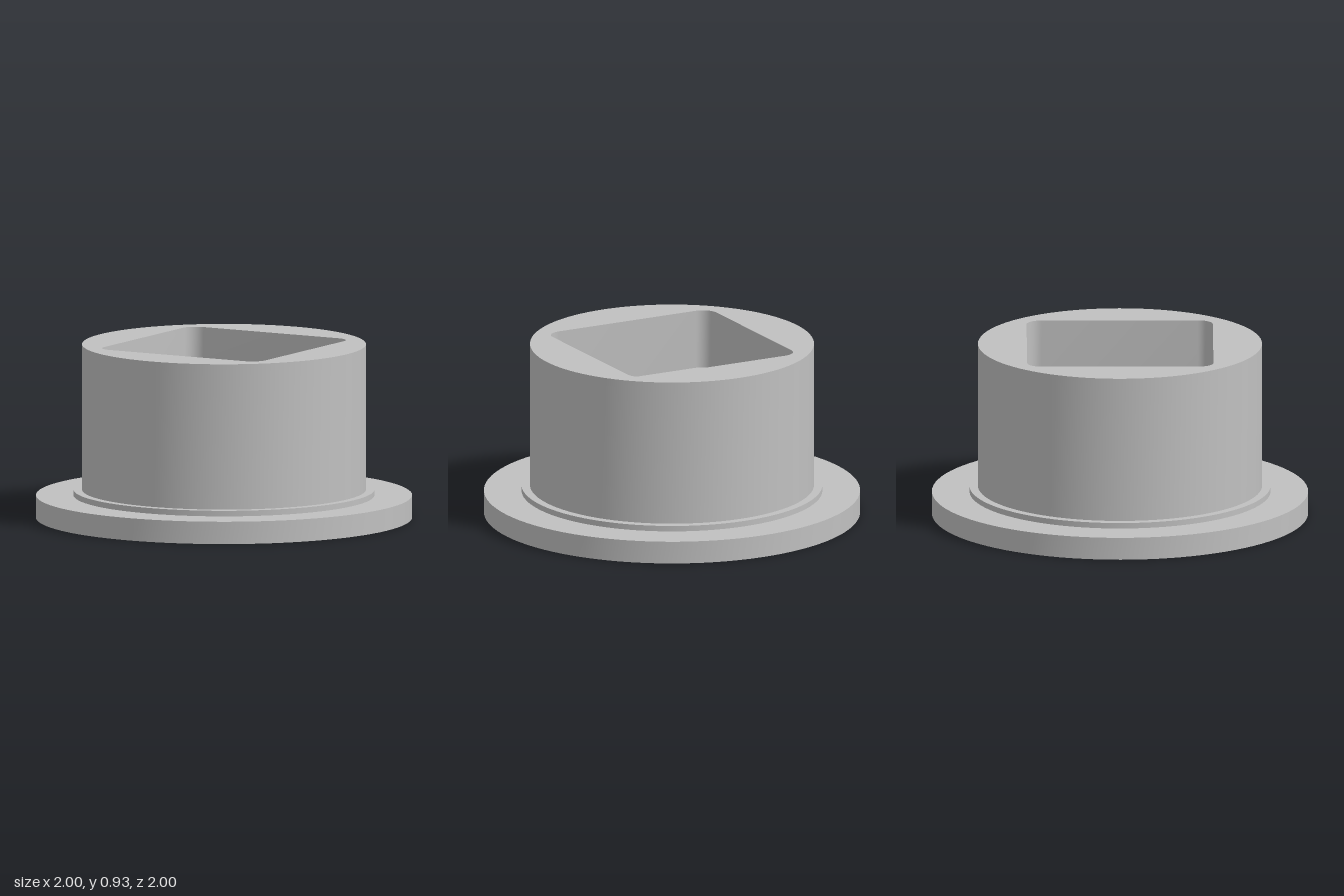
import * as THREE from 'three';
import { toCreasedNormals } from 'three/addons/utils/BufferGeometryUtils.js';

const grey = new THREE.MeshStandardMaterial({ color: 0xc0c0c0 });
grey.name = 'plain grey';

// Regular polygon outline, counter-clockwise; many sides make a circle
function ring(radius, sides = 96) {
  return Array.from({ length: sides }, (_, i) => {
    const a = (i / sides) * Math.PI * 2;
    return new THREE.Vector2(radius * Math.cos(a), radius * Math.sin(a));
  });
}

// Square outline with rounded corners, counter-clockwise
function roundedSquare(half, radius, steps = 10) {
  const points = [];
  for (let corner = 0; corner < 4; corner++) {
    const middle = Math.PI / 4 + corner * Math.PI / 2;
    const cx = Math.sign(Math.cos(middle)) * (half - radius);
    const cy = Math.sign(Math.sin(middle)) * (half - radius);
    for (let i = 0; i <= steps; i++) {
      const a = (corner + i / steps) * Math.PI / 2;
      points.push(new THREE.Vector2(cx + radius * Math.cos(a), cy + radius * Math.sin(a)));
    }
  }
  return points;
}

// Upright wall along an outline, facing outward or into the hole
function wall(outline, y0, y1, inward = false) {
  const positions = [];
  outline.forEach((p, i) => {
    let a = p, b = outline[(i + 1) % outline.length];
    if (inward) [a, b] = [b, a];
    positions.push(a.x, y0, -a.y, b.x, y0, -b.y, b.x, y1, -b.y);
    positions.push(a.x, y0, -a.y, b.x, y1, -b.y, a.x, y1, -a.y);
  });
  const geometry = new THREE.BufferGeometry();
  geometry.setAttribute('position', new THREE.Float32BufferAttribute(positions, 3));
  return toCreasedNormals(geometry, Math.PI / 6);
}

// Level face between an outline and the hole inside it
function level(outline, hole, y, down = false) {
  const shape = new THREE.Shape(outline);
  shape.holes.push(new THREE.Path(hole));
  return new THREE.ShapeGeometry(shape)
    .rotateX(down ? Math.PI / 2 : -Math.PI / 2)
    .translate(0, y, 0);
}

export function createModel() {
  const model = new THREE.Group();
  model.name = 'flangedSocket';
  const add = (name, geometry) => {
    const mesh = new THREE.Mesh(geometry, grey);
    mesh.name = name;
    model.add(mesh);
  };

  const flange = ring(1);
  const shoulder = ring(0.8);
  const hub = ring(0.755);
  const pocket = roundedSquare(0.495, 0.08);
  const hexagon = ring(0.2, 6);
  const bore = ring(0.1, 48);

  // Heights of the level faces
  const boreTop = 0.04, flangeTop = 0.12, shoulderTop = 0.15, pocketFloor = 0.615, hubTop = 0.93;

  // Base disc
  add('flangeUnderside', level(flange, bore, 0, true));
  add('flangeRim', wall(flange, 0, flangeTop));
  add('flangeTop', level(flange, shoulder, flangeTop));

  // Low step round the hub
  add('shoulderRim', wall(shoulder, flangeTop, shoulderTop));
  add('shoulderTop', level(shoulder, hub, shoulderTop));

  // Cylindrical hub
  add('hubSide', wall(hub, shoulderTop, hubTop));
  add('hubTop', level(hub, pocket, hubTop));

  // Square pocket
  add('pocketWalls', wall(pocket, pocketFloor, hubTop, true));
  add('pocketFloor', level(pocket, hexagon, pocketFloor));

  // Hexagonal recess and the round bore beneath it
  add('hexRecessWalls', wall(hexagon, boreTop, pocketFloor, true));
  add('hexRecessFloor', level(hexagon, bore, boreTop));
  add('boreWall', wall(bore, 0, boreTop, true));

  return model;
}
